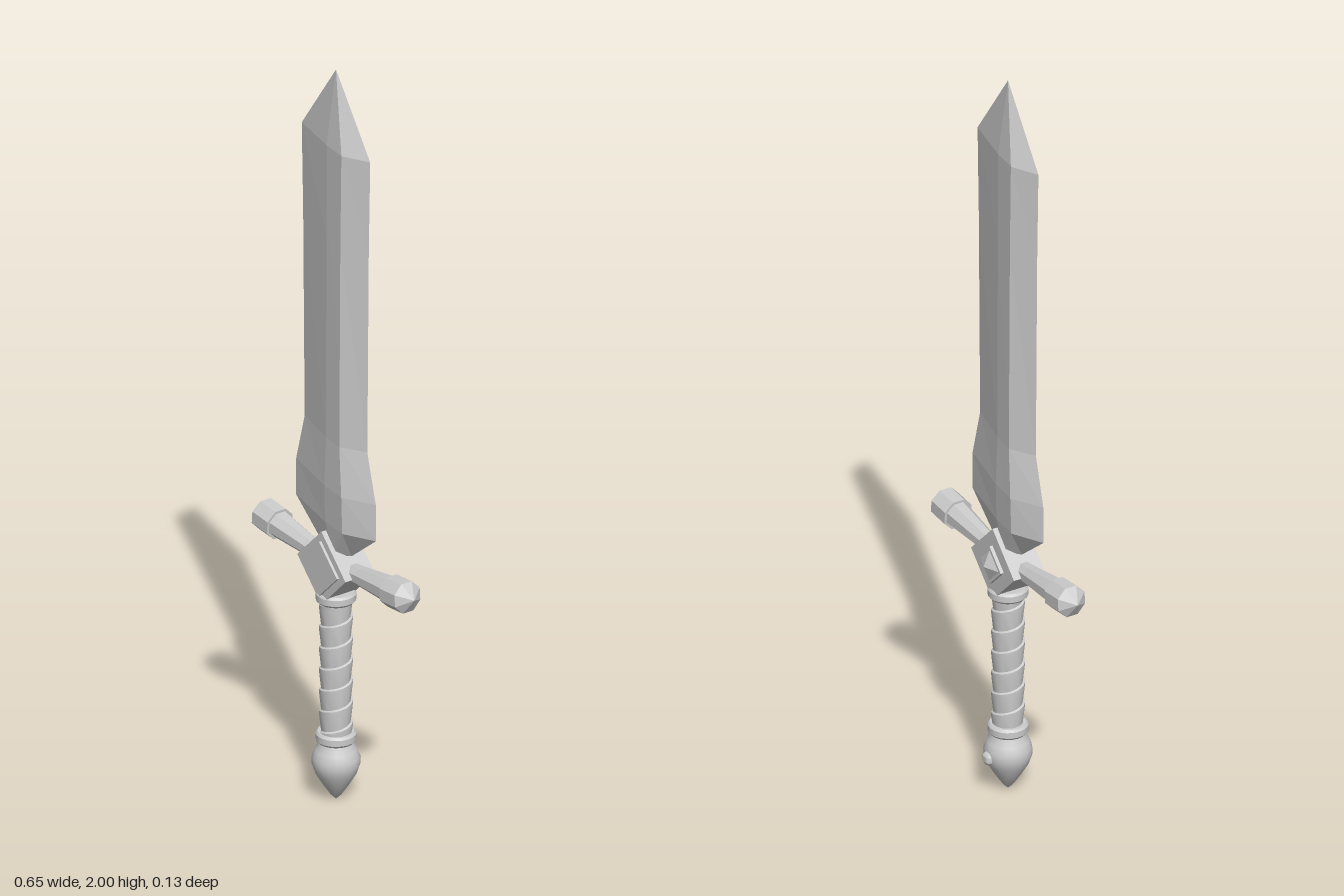
import * as THREE from 'three';
import { toCreasedNormals } from 'three/addons/utils/BufferGeometryUtils.js';

const FLAT = 0.01, SOFT = 0.7;

export function createModel() {
  const sword = new THREE.Group();
  sword.name = 'sword';
  const metal = new THREE.MeshStandardMaterial({ color: 0xcccccc });
  metal.name = 'plain grey';

  function add(name, geometry, crease = FLAT, x = 0, y = 0, z = 0) {
    const mesh = new THREE.Mesh(toCreasedNormals(geometry, crease), metal);
    mesh.name = name;
    mesh.position.set(x, y, z);
    sword.add(mesh);
    return mesh;
  }
  const lathe = (points, sides, start = 0) =>
    new THREE.LatheGeometry(points.map(p => new THREE.Vector2(p[0], p[1])), sides, start);

  // Blade: six-sided sections [y, half width, half thickness], ridges offset to opposite sides
  const levels = [
    [0.69, 0.065, 0.03], [0.77, 0.165, 0.042], [0.87, 0.165, 0.045], [1.0, 0.13, 0.038],
    [1.55, 0.136, 0.037], [1.8, 0.142, 0.036], [2.0, 0, 0],
  ];
  const positions = [], index = [], n = 6;
  for (const [y, w, t] of levels) {
    const ring = [[-w, 0], [0, 0.8 * t], [w / 2, t], [w, 0], [0, -0.8 * t], [-w / 2, -t]];
    for (const [x, z] of ring) positions.push(x, y, z);
  }
  for (let k = 0; k < levels.length - 1; k++) {
    for (let i = 0; i < n; i++) {
      const a = k * n + i, b = k * n + (i + 1) % n;
      index.push(a, b, a + n);
      if (k < levels.length - 2) index.push(b, b + n, a + n);
    }
  }
  for (let i = 1; i < n - 1; i++) index.push(0, i + 1, i);
  const blade = new THREE.BufferGeometry();
  blade.setAttribute('position', new THREE.Float32BufferAttribute(positions, 3));
  blade.setIndex(index);
  add('blade', blade, FLAT, 0, 0, 0.004);

  // Diamond-shaped guard block with a front plate, a back plate and a pyramid gem
  const guardY = 0.645;
  const diamond = (half, depth) =>
    new THREE.BoxGeometry(half * Math.SQRT2, half * Math.SQRT2, depth).rotateZ(Math.PI / 4);
  add('guardBlock', diamond(0.1, 0.09), FLAT, 0, guardY, 0.004);
  add('frontPlate', diamond(0.074, 0.008), FLAT, 0, guardY, 0.052);
  add('backPlate', diamond(0.053, 0.01), FLAT, 0, guardY, -0.045);
  add('backGem', new THREE.ConeGeometry(0.042, 0.017, 4).rotateX(-Math.PI / 2),
    FLAT, 0, guardY, -0.0585);

  // Flared octagonal guard arms with pointed end caps
  const armProfile = [[0.024, 0.04], [0.026, 0.11], [0.035, 0.234], [0.042, 0.234],
    [0.042, 0.297], [0, 0.327]];
  for (const side of [1, -1]) {
    const arm = add(side > 0 ? 'leftGuardArm' : 'rightGuardArm',
      lathe(armProfile, 8, Math.PI / 8), FLAT, 0, 0.642, 0.004);
    arm.rotation.z = -side * (Math.PI / 2 - 0.085);
  }

  // Grip: saw-tooth profile sheared into a spiral wrap, trimmed at the collars
  const bottom = 0.165, top = 0.56, pitch = 0.058, gripProfile = [];
  for (let y = bottom - pitch; y < top + pitch; y += pitch) {
    gripProfile.push([0.037, y], [0.042, y + pitch * 0.8], [0.042, y + pitch * 0.95]);
  }
  const grip = lathe(gripProfile, 20);
  const p = grip.attributes.position;
  const rows = gripProfile.length;
  for (let i = 0; i < p.count; i++) {
    const turn = Math.floor(i / rows) / 20 - 0.5;
    p.setY(i, THREE.MathUtils.clamp(p.getY(i) + pitch * turn, bottom, top));
  }
  add('grip', grip, SOFT, 0, 0, 0.004);

  // Collars at both ends of the grip
  const collar = [[0, -0.014], [0.046, -0.014], [0.051, -0.008], [0.051, 0.008],
    [0.046, 0.014], [0, 0.014]];
  for (const [name, y] of [['upperCollar', 0.558], ['lowerCollar', 0.174]]) {
    add(name, lathe(collar, 20), 0.5, 0, y, 0.004);
  }

  // Pommel drop with a stud on its back
  add('pommel', lathe([[0, 0], [0.014, 0.014], [0.034, 0.044], [0.053, 0.076], [0.061, 0.1],
    [0.06, 0.118], [0.053, 0.138], [0.042, 0.154], [0.04, 0.164]], 20), SOFT, 0, 0, 0.004);
  add('pommelStud', new THREE.SphereGeometry(0.018, 14, 10).scale(1, 1, 0.7),
    SOFT, 0, 0.1, -0.054);

  return sword;
}
